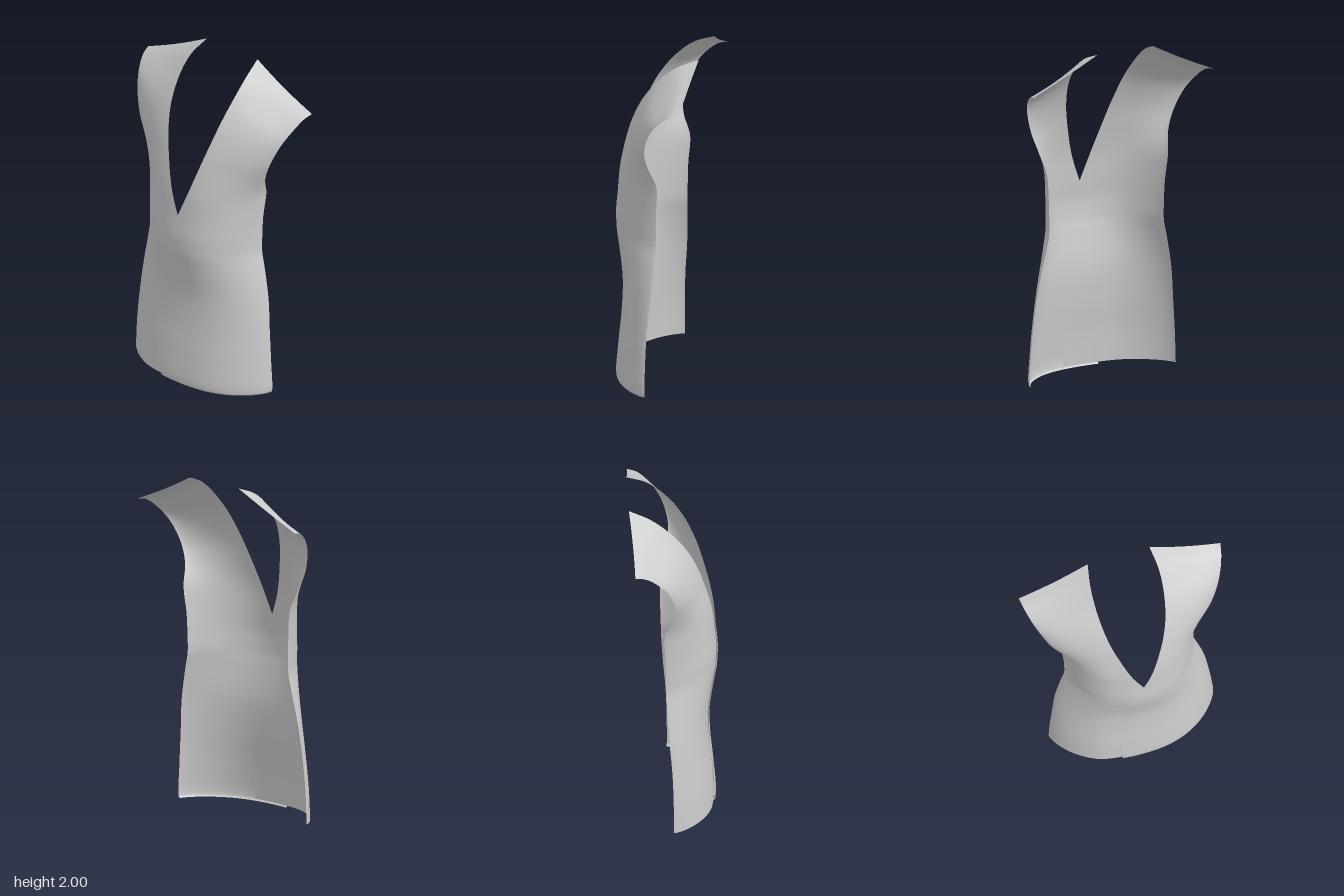
import * as THREE from 'three';

// Matching stations from hem to shoulder: front edge and side edge of one panel
const FRONT_EDGE = [
  [-0.12, 0, 0.228], [-0.12, 0.012, 0.238], [-0.12, 0.2, 0.227], [-0.12, 0.4, 0.208],
  [-0.12, 0.6, 0.203], [-0.12, 0.8, 0.228], [-0.115, 0.89, 0.242], [-0.055, 0.98, 0.256],
  [-0.005, 1.1, 0.248], [0.06, 1.27, 0.23], [0.12, 1.47, 0.18], [0.155, 1.6, 0.135],
  [0.185, 1.74, 0.065], [0.203, 1.87, -0.04], [0.203, 1.95, -0.14], [0.185, 2, -0.26],
];
const SIDE_EDGE = [
  [0.48, 0, -0.015], [0.49, 0.012, -0.014], [0.483, 0.2, -0.015], [0.467, 0.4, -0.022],
  [0.445, 0.6, -0.038], [0.405, 0.8, -0.05], [0.386, 0.89, -0.053], [0.385, 1, -0.056],
  [0.39, 1.12, -0.058], [0.408, 1.28, -0.064], [0.435, 1.4, -0.02], [0.475, 1.51, -0.008],
  [0.525, 1.64, -0.045], [0.565, 1.73, -0.11], [0.59, 1.785, -0.18], [0.602, 1.8, -0.24],
];

const { smoothstep, lerp } = THREE.MathUtils;
const curve = (points) => new THREE.CatmullRomCurve3(points.map((p) => new THREE.Vector3(...p)));

// One cloth panel, lofted between its two edges along a rounded body section.
// side: +1 left, -1 right; the under panel tucks slightly behind at the overlap.
function makePanel(side, under) {
  const skip = under ? 1 : 0; // only the outer panel has the turned hem
  const front = curve(FRONT_EDGE.slice(skip));
  const outer = curve(SIDE_EDGE.slice(skip));
  const rows = 90, cols = 40;
  const positions = [], index = [];
  for (let j = 0; j <= rows; j++) {
    const a = front.getPoint(j / rows), b = outer.getPoint(j / rows);
    const upper = smoothstep(b.y, 1.25, 1.8);
    const seam = smoothstep(b.y, 1.68, 1.8); // shoulder seam runs almost straight
    const power = 0.73 + 0.1 * upper;
    const section = (x) => Math.pow(Math.max(0, 1 - Math.pow(Math.abs(x) / b.x, 2.4)), power);
    for (let i = 0; i <= cols; i++) {
      const s = Math.sin((i / cols) * Math.PI / 2); // denser near the side seam
      const x = i === cols ? b.x : a.x + (b.x - a.x) * s;
      const depth = lerp(section(x) / section(a.x), (1 - s) ** 2, seam);
      const dip = 0.007 * upper * Math.sin(Math.PI * s);
      const tuck = under ? 0.01 * (1 - smoothstep(x, 0.1, 0.28)) * (1 - upper) : 0;
      positions.push(side * x, lerp(a.y, b.y, s) - dip, lerp(b.z, a.z, depth) - tuck);
    }
  }
  for (let j = 0; j < rows; j++) {
    for (let i = 0; i < cols; i++) {
      const p = j * (cols + 1) + i, q = p + cols + 1;
      if (side > 0) index.push(p, p + 1, q, p + 1, q + 1, q);
      else index.push(p, q, p + 1, p + 1, q, q + 1);
    }
  }
  const geometry = new THREE.BufferGeometry();
  geometry.setAttribute('position', new THREE.Float32BufferAttribute(positions, 3));
  geometry.setIndex(index);
  geometry.computeVertexNormals();
  return geometry;
}

export function createModel() {
  const group = new THREE.Group();
  group.name = 'vestFront';
  const cloth = new THREE.MeshStandardMaterial({ color: 0xcccccc, side: THREE.DoubleSide });

  // Left panel wraps over the right one
  const left = new THREE.Mesh(makePanel(1, false), cloth);
  left.name = 'leftFrontPanel';
  const right = new THREE.Mesh(makePanel(-1, true), cloth);
  right.name = 'rightFrontPanel';
  group.add(left, right);
  return group;
}
